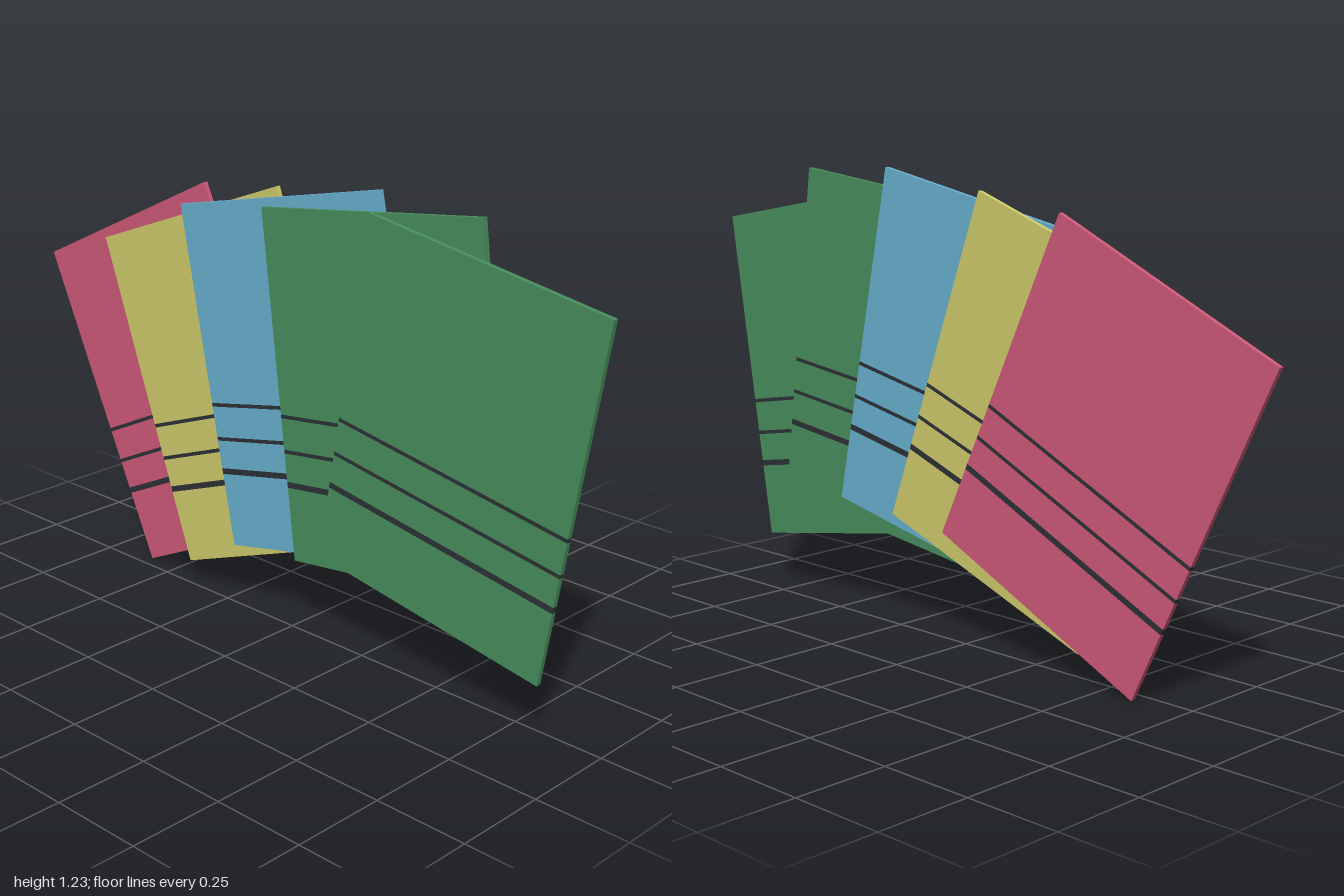
import * as THREE from 'three';

const W = 0.709, H = 0.934, T = 0.0135;

// Horizontal bands of a card, measured from its bottom edge: [from, to, isStripe]
const stripes = [[0.2, 0.216], [0.293, 0.303], [0.387, 0.397]];
const bands = [];
let y = 0;
for (const [from, to] of stripes) {
  bands.push([y, from, false], [from, to, true]);
  y = to;
}
bands.push([y, H, false]);

// Fanned cards, back to front: name, colour, centre, tilt in degrees
const cards = [
  ['pinkCard', 0xd05a7a, -0.48, 0.578, -0.0415, 25.2],
  ['yellowCard', 0xcfcb6b, -0.232, 0.63, -0.0105, 20.2],
  ['blueCard', 0x68b0cf, 0.043, 0.709, 0.004, 11.7],
  ['innerGreenCard', 0x488f5d, 0.3235, 0.719, 0.0155, 7.2],
  ['frontGreenCard', 0x488f5d, 0.571, 0.671, 0.0435, -9.5],
];

export function createModel() {
  const model = new THREE.Group();
  model.name = 'cardFan';
  const stripeMaterial = new THREE.MeshStandardMaterial({ color: 0x2d3035 });

  for (const [name, color, x, cy, z, tilt] of cards) {
    const card = new THREE.Group();
    card.name = name;
    const material = new THREE.MeshStandardMaterial({ color });

    // Flush panels and stripes stacked up the card
    for (const [from, to, isStripe] of bands) {
      const mesh = new THREE.Mesh(
        new THREE.BoxGeometry(W, to - from, T),
        isStripe ? stripeMaterial : material
      );
      mesh.name = isStripe ? 'stripe' : 'panel';
      mesh.position.y = (from + to) / 2 - H / 2;
      card.add(mesh);
    }
    card.position.set(x, cy, z);
    card.rotation.z = THREE.MathUtils.degToRad(tilt);
    model.add(card);
  }
  return model;
}
